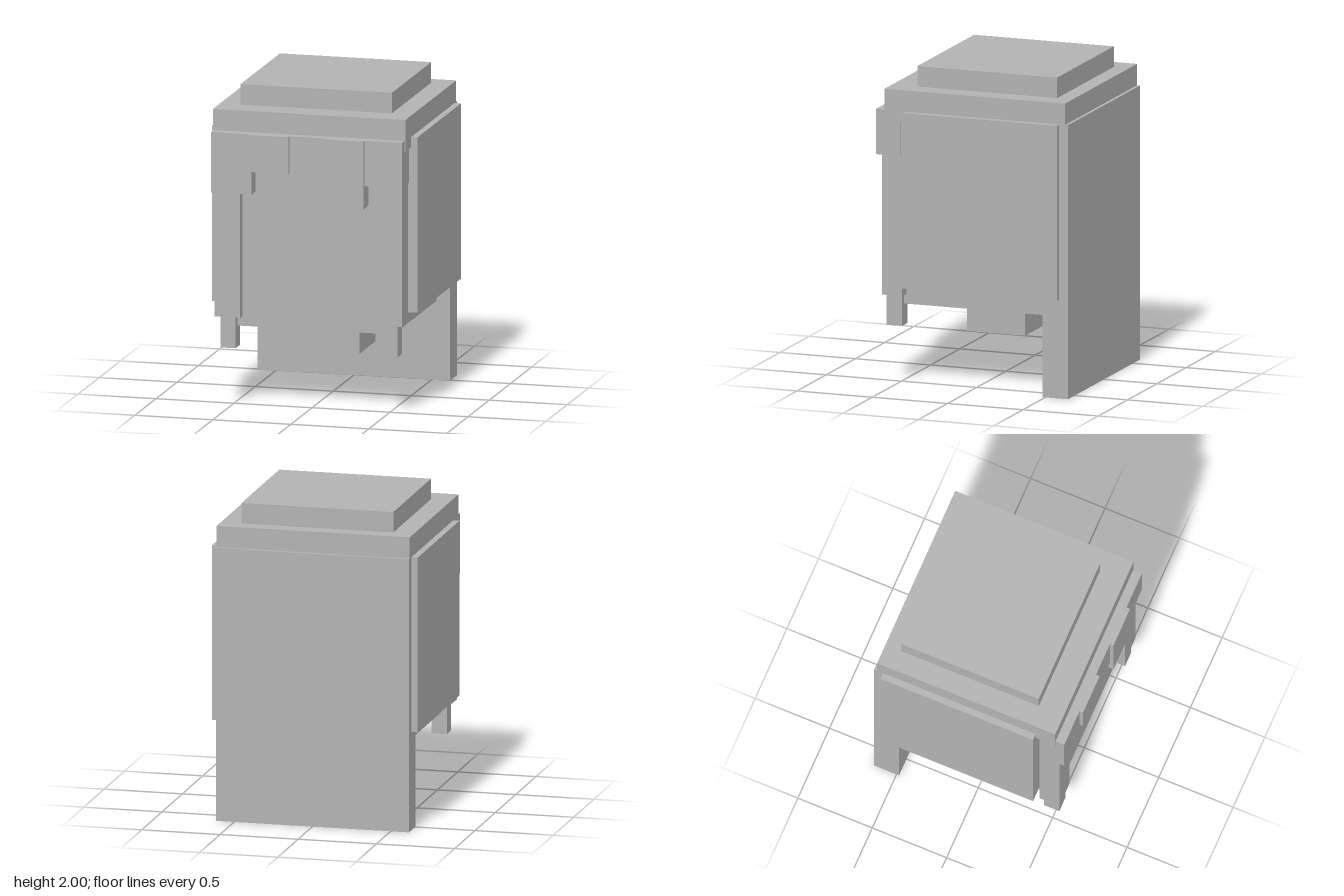
import * as THREE from 'three';

export function createModel() {
  const model = new THREE.Group();
  model.name = 'blockHead';
  const grey = new THREE.MeshStandardMaterial({ color: 0xb2b2b2 });
  grey.name = 'plain grey';

  // Box given by its lower and upper limits on each axis
  function block(name, [x0, x1], [y0, y1], [z0, z1]) {
    const mesh = new THREE.Mesh(new THREE.BoxGeometry(x1 - x0, y1 - y0, z1 - z0), grey);
    mesh.position.set((x0 + x1) / 2, (y0 + y1) / 2, (z0 + z1) / 2);
    mesh.name = name;
    model.add(mesh);
  }

  // Head and neck
  block('head', [-0.53, 0.53], [0.5, 1.7], [-0.53, 0.53]);
  block('neck', [-0.215, 0.215], [0.285, 0.52], [-0.21, 0.175]);

  // Hair: stepped crown and long back
  block('crownTop', [-0.485, 0.485], [1.86, 2], [-0.527, 0.4]);
  block('crown', [-0.617, 0.617], [1.67, 1.87], [-0.63, 0.567]);
  block('backHair', [-0.617, 0.617], [0, 1.735], [-0.65, -0.483]);

  // Hair on both sides: flat panel, front lock and its thinner tip
  for (const [side, s] of [['left', 1], ['right', -1]]) {
    const span = (a, b) => (s > 0 ? [a, b] : [-b, -a]);
    block(side + 'SideHair', span(0.52, 0.658), [0.625, 1.735], [-0.592, 0.435]);
    block(side + 'FrontLock', span(0.437, 0.602), [0.562, 1.7], [0.455, 0.588]);
    block(side + 'LockTip', span(0.47, 0.568), [0.365, 0.58], [0.47, 0.573]);
  }

  // Fringe of uneven strands: x limits, lower end, front depth
  const fringe = [
    [-0.613, -0.355, 1.355, 0.626],
    [-0.375, -0.11, 1.503, 0.65],
    [-0.132, 0.13, 1.4, 0.626],
    [0.107, 0.37, 1.307, 0.65],
    [0.352, 0.611, 1.45, 0.626],
  ];
  fringe.forEach(([x0, x1, y0, z1], i) =>
    block('fringeStrand' + (i + 1), [x0, x1], [y0, 1.737], [z1 - 0.163, z1]));

  return model;
}
